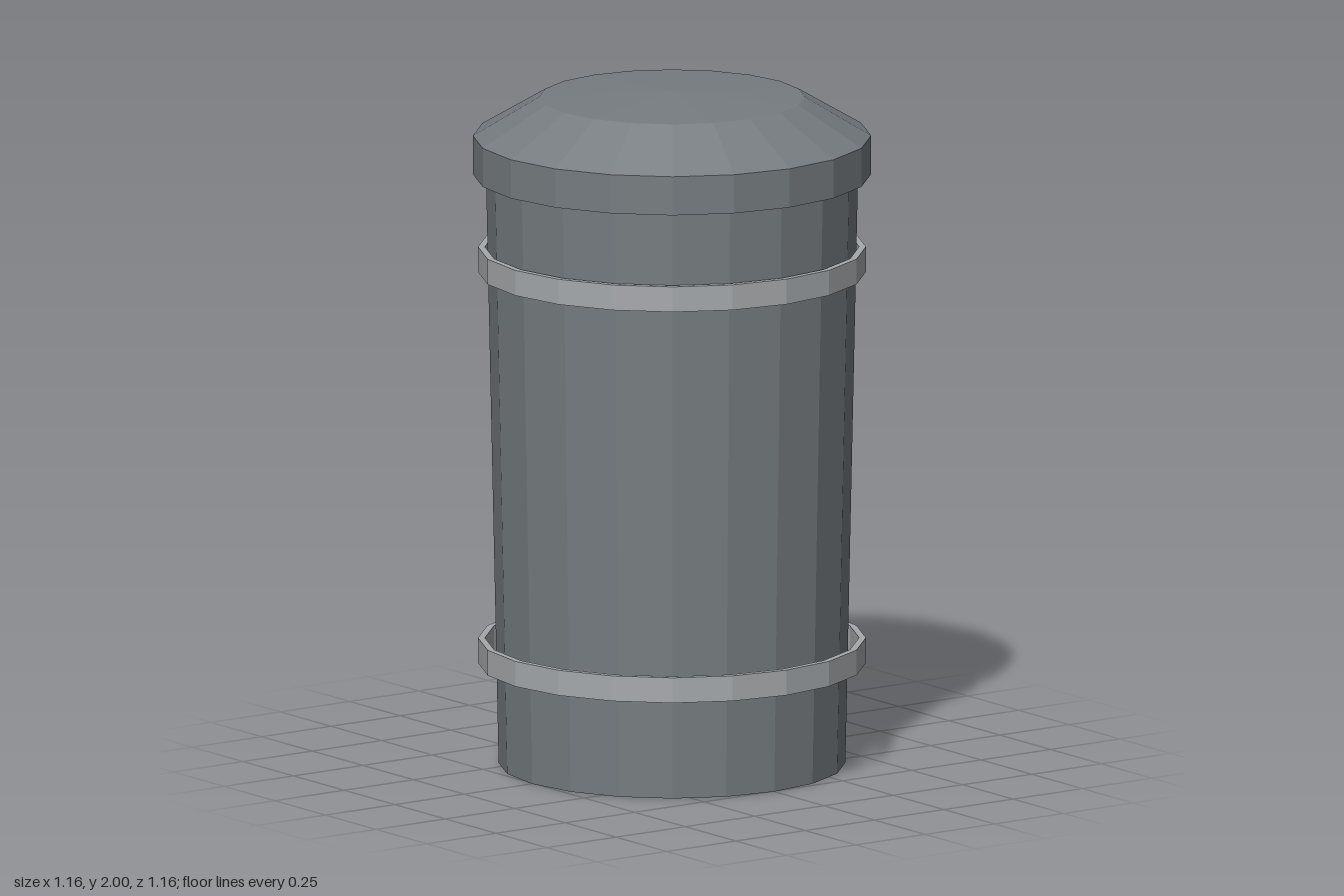
import * as THREE from 'three';

const SIDES = 20;

export function createModel() {
  const model = new THREE.Group();
  model.name = 'trashCan';

  const darkMetal = new THREE.MeshStandardMaterial({ color: 0x767c80, flatShading: true });
  darkMetal.name = 'dark grey metal';
  const lightMetal = new THREE.MeshStandardMaterial({ color: 0xa6a9ac, flatShading: true });
  lightMetal.name = 'light grey metal';

  // Turns a [radius, height] profile, listed bottom to top, into a faceted part
  const turn = (name, profile, material) => {
    const points = profile.map(([r, y]) => new THREE.Vector2(r, y));
    const mesh = new THREE.Mesh(new THREE.LatheGeometry(points, SIDES), material);
    mesh.name = name;
    model.add(mesh);
    return mesh;
  };

  // Tapered can with a closed floor
  turn('body', [[0, 0], [0.505, 0], [0.542, 1.76]], darkMetal);

  // Lid: closed underside, straight rim, sloped shoulder and shallow crown
  turn('lid', [[0, 1.752], [0.58, 1.752], [0.58, 1.867], [0.387, 1.982], [0, 2]], darkMetal);

  // Two loose flat hoops standing off the body
  const hoop = [[0.545, 0], [0.565, 0], [0.565, 0.075], [0.545, 0.075], [0.545, 0]];
  turn('lowerHoop', hoop, lightMetal).position.y = 0.297;
  turn('upperHoop', hoop, lightMetal).position.y = 1.461;

  return model;
}
